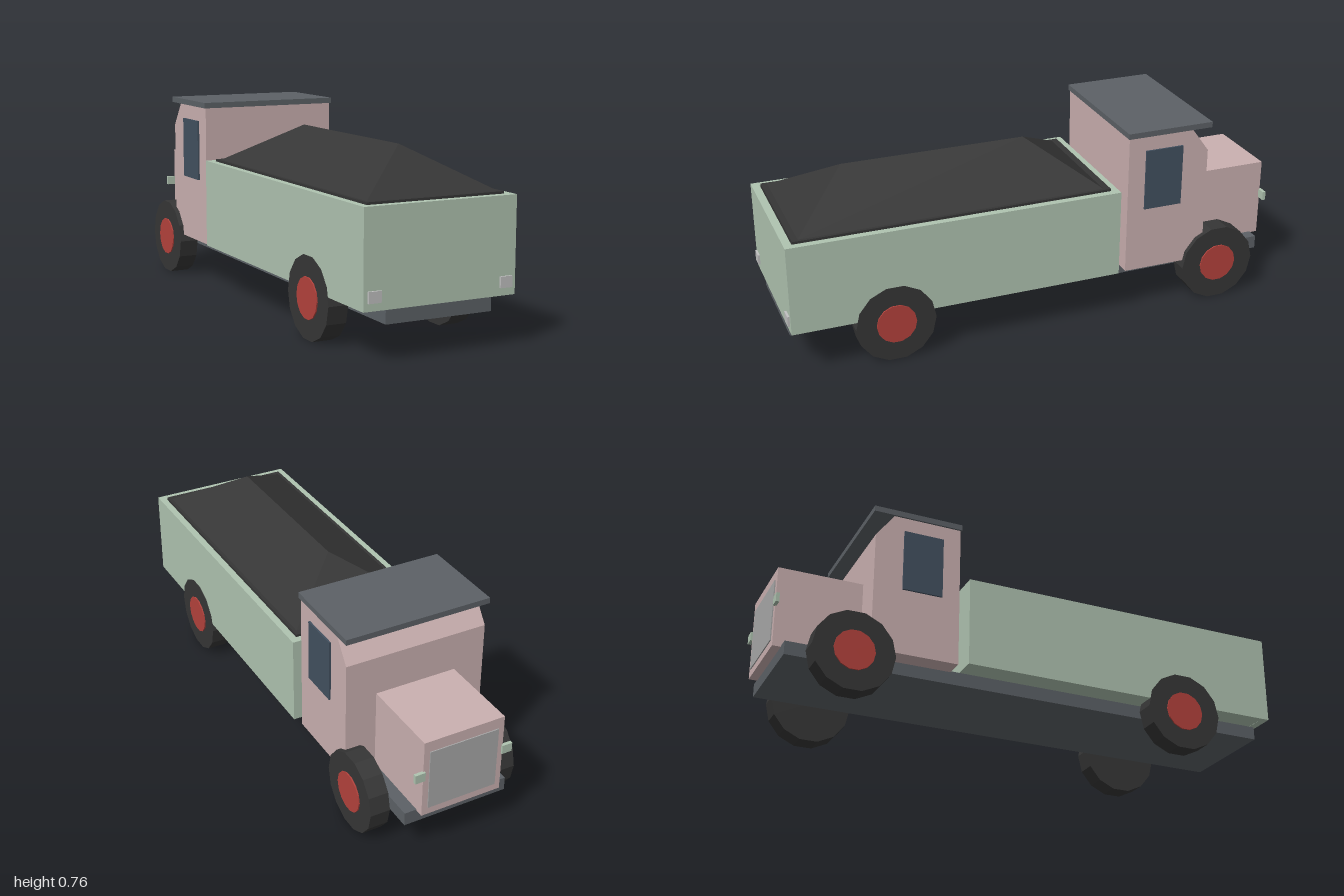
import * as THREE from 'three';
import { ConvexGeometry } from 'three/addons/geometries/ConvexGeometry.js';

const paint = (name, color) => {
  const m = new THREE.MeshStandardMaterial({ color });
  m.name = name;
  return m;
};

export function createModel() {
  const green = paint('bedGreen', 0xafc3b0);
  const pink = paint('cabPink', 0xcab0b0);
  const steel = paint('steelGrey', 0x5c6166);
  const black = paint('coalBlack', 0x363636);
  const red = paint('hubRed', 0xb4423c);
  const glass = paint('windowBlue', 0x42505f);
  const lamp = paint('lampGrey', 0xc0c0c0);
  const grilleGrey = paint('grilleGrey', 0xa8a8a8);

  const truck = new THREE.Group();
  truck.name = 'truck';

  const add = (name, geometry, material, parent = truck) => {
    const mesh = new THREE.Mesh(geometry, material);
    mesh.name = name;
    parent.add(mesh);
    return mesh;
  };
  // Box given by its minimum and maximum on each axis
  const box = (name, material, [x0, x1], [y0, y1], [z0, z1]) => {
    const mesh = add(name, new THREE.BoxGeometry(x1 - x0, y1 - y0, z1 - z0), material);
    mesh.position.set((x0 + x1) / 2, (y0 + y1) / 2, (z0 + z1) / 2);
    return mesh;
  };
  const rect = (Path, w, z0, z1) => new Path([[-w, z0], [w, z0], [w, z1], [-w, z1]].map(p => new THREE.Vector2(...p)));

  // Chassis
  box('chassis', steel, [-0.207, 0.207], [0.13, 0.182], [-0.96, 0.98]);

  // Open bed: four walls around a floor
  const walls = rect(THREE.Shape, 0.297, -0.99, 0.3);
  walls.holes.push(rect(THREE.Path, 0.27, -0.96, 0.272));
  const wallGeometry = new THREE.ExtrudeGeometry(walls, { depth: 0.346, bevelEnabled: false });
  wallGeometry.rotateX(-Math.PI / 2);
  add('bedWalls', wallGeometry, green).position.y = 0.182;
  box('bedFloor', green, [-0.27, 0.27], [0.183, 0.21], [-0.272, 0.96]);

  // Load with a hipped heap on top
  box('loadBase', black, [-0.267, 0.267], [0.21, 0.536], [-0.27, 0.957]);
  const heap = [new THREE.Vector3(0, 0.686, -0.015), new THREE.Vector3(0, 0.686, 0.705)];
  for (const x of [-0.256, 0.256]) for (const z of [-0.245, 0.935]) heap.push(new THREE.Vector3(x, 0.535, z));
  add('loadHeap', new ConvexGeometry(heap), black);

  // Cab side profile with a sloped upper front, extruded across the width
  const profile = new THREE.Shape([[0.335, 0.178], [0.67, 0.178], [0.67, 0.64], [0.6, 0.735], [0.335, 0.735]]
    .map(p => new THREE.Vector2(...p)));
  const cabGeometry = new THREE.ExtrudeGeometry(profile, { depth: 0.562, bevelEnabled: false });
  cabGeometry.translate(0, 0, -0.281).rotateY(Math.PI / 2);
  add('cab', cabGeometry, pink);
  box('roof', steel, [-0.288, 0.288], [0.735, 0.757], [-0.68, -0.33]);
  box('hood', pink, [-0.16, 0.16], [0.178, 0.49], [-0.992, -0.67]);
  box('grille', grilleGrey, [-0.137, 0.137], [0.207, 0.447], [-0.996, -0.99]);

  // Parts mirrored on both sides
  for (const s of [-1, 1]) {
    const side = s > 0 ? 'left' : 'right';
    const span = (a, b) => [Math.min(s * a, s * b), Math.max(s * a, s * b)];
    box(side + 'Window', glass, span(0.28, 0.288), [0.435, 0.677], [-0.56, -0.405]);
    box(side + 'Headlight', green, span(0.155, 0.195), [0.335, 0.37], [-1, -0.987]);
    box(side + 'Taillight', lamp, span(0.233, 0.281), [0.21, 0.25], [0.989, 0.998]);

    // Fourteen-sided wheels, resting on a flat
    for (const [end, z] of [['Front', -0.733], ['Rear', 0.6]]) {
      const wheel = new THREE.Group();
      wheel.name = side + end + 'Wheel';
      wheel.position.set(0, 0.15, z);
      truck.add(wheel);
      const disc = (name, r, a, b, material) => {
        const g = new THREE.CylinderGeometry(r, r, b - a, 14).toNonIndexed();
        g.rotateZ(Math.PI / 2);
        g.computeVertexNormals();
        add(name, g, material, wheel).position.x = s * (a + b) / 2;
      };
      disc('tyre', 0.154, 0.222, 0.299, black);
      disc('hub', 0.077, 0.25, 0.304, red);
    }
  }
  return truck;
}
